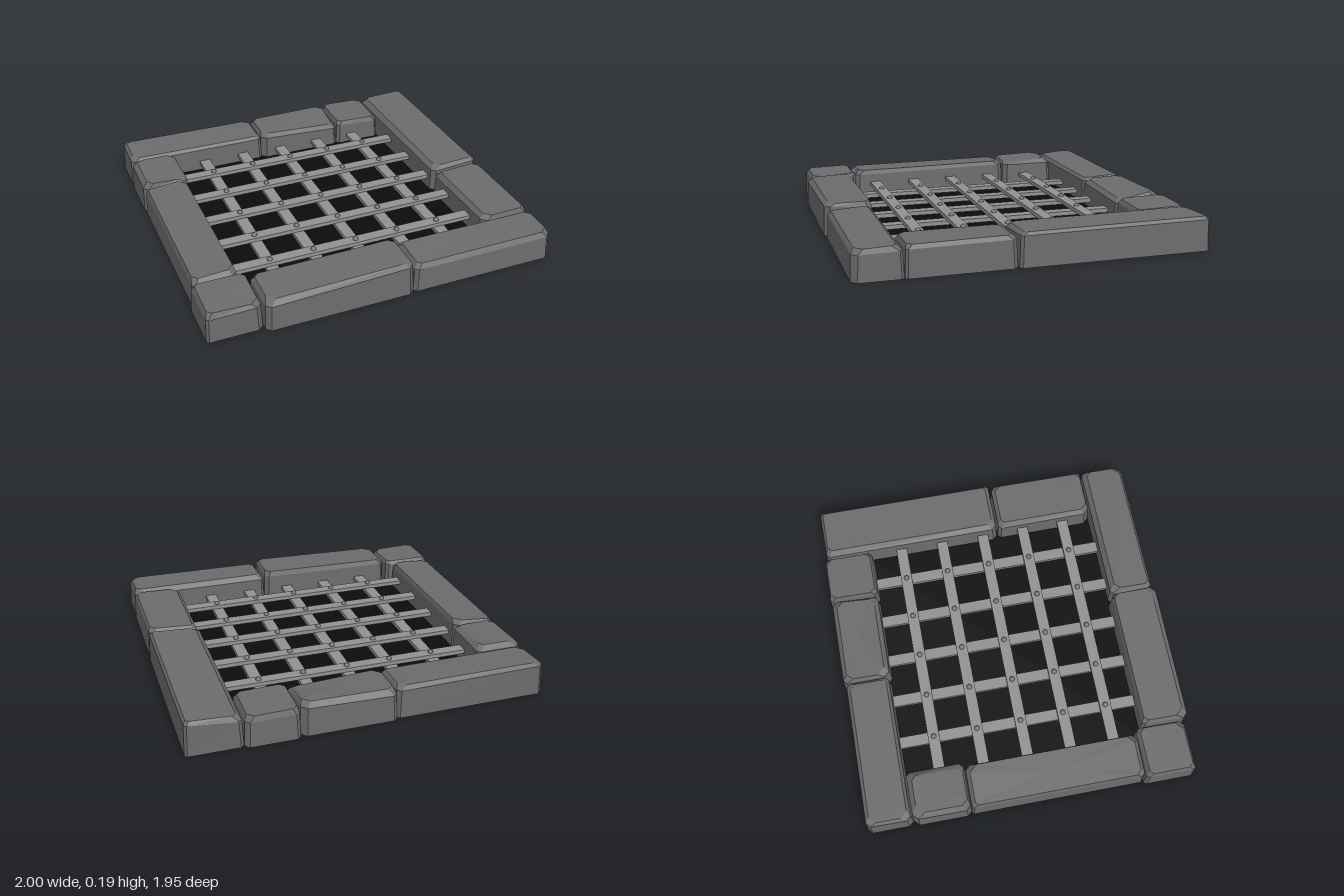
import * as THREE from 'three';

const stoneMat = new THREE.MeshStandardMaterial({ name: 'stone grey', color: 0x6b6b6b, flatShading: true, side: THREE.DoubleSide });
const barMat = new THREE.MeshStandardMaterial({ name: 'bar metal', color: 0x939190, flatShading: true });
const rivetMat = new THREE.MeshStandardMaterial({ name: 'rivet metal', color: 0x777675 });
const pitMat = new THREE.MeshStandardMaterial({ name: 'pit black', color: 0x0b0b0b, side: THREE.DoubleSide });

// Small seeded generator for the chipped edges
function seeded(seed) {
  let s = seed * 7919 + 17;
  return () => (s = (s * 16807) % 2147483647) / 2147483647;
}

// Footprint with cut corners, back-left first and then clockwise from above
function outline(x0, x1, z0, z1, cuts) {
  const [a, b, c, d] = cuts;
  return [
    [x0, z0 + a], [x0 + a, z0], [x1 - b, z0], [x1, z0 + b],
    [x1, z1 - c], [x1 - c, z1], [x0 + d, z1], [x0, z1 - d],
  ];
}

// Rough block, open underneath: wall loop, shoulder loop, bevelled top loop and a cap
function stoneGeometry([x0, x1, z0, z1], heights, seed) {
  const rnd = seeded(seed);
  for (let i = 0; i < 5; i++) rnd();
  const cuts = heights.map(() => 0.012 + 0.02 * rnd());
  const inset = heights.map(() => 0.014 + 0.022 * rnd());
  const topCuts = cuts.map((c) => c + 0.015 * rnd());
  const cornerOf = (i) => Math.floor(i / 2);
  const base = outline(x0, x1, z0, z1, cuts);
  const mid = outline(x0 + 0.006, x1 - 0.006, z0 + 0.006, z1 - 0.006, cuts);
  const top = outline(x0 + inset[0], x1 - inset[1], z0 + inset[2], z1 - inset[3], topCuts);
  const drop = heights.map(() => 0.015 + 0.018 * rnd());

  const pos = [];
  base.forEach(([x, z]) => pos.push(x, 0, z));
  mid.forEach(([x, z], i) => pos.push(x, heights[cornerOf(i)] - drop[cornerOf(i)], z));
  top.forEach(([x, z], i) => pos.push(x, heights[cornerOf(i)], z));
  const mean = heights.reduce((s, h) => s + h, 0) / 4;
  pos.push((x0 + x1) / 2, mean, (z0 + z1) / 2);

  const index = [];
  for (let i = 0; i < 8; i++) {
    const j = (i + 1) % 8;
    for (let r = 0; r < 16; r += 8) {
      index.push(r + i, r + 8 + i, r + j, r + j, r + 8 + i, r + 8 + j);
    }
    index.push(16 + i, 24, 16 + j);
  }
  const geo = new THREE.BufferGeometry();
  geo.setAttribute('position', new THREE.Float32BufferAttribute(pos, 3));
  geo.setIndex(index);
  const flat = geo.toNonIndexed();
  flat.computeVertexNormals();
  return flat;
}

// Name, footprint (x0, x1, z0, z1), heights (back-left, back-right, front-right, front-left)
const STONES = [
  ['backLongStone', [-0.985, -0.125, -0.955, -0.695], [0.185, 0.18, 0.17, 0.175]],
  ['backMiddleStone', [-0.13, 0.40, -0.97, -0.685], [0.18, 0.185, 0.155, 0.175]],
  ['backShortStone', [0.40, 0.695, -0.98, -0.68], [0.175, 0.17, 0.165, 0.17]],
  ['leftLongStone', [0.695, 1.0, -0.965, 0.105], [0.18, 0.19, 0.185, 0.175]],
  ['leftShortStone', [0.7, 0.995, 0.11, 0.695], [0.165, 0.175, 0.17, 0.165]],
  ['frontLeftStone', [0.14, 0.99, 0.695, 0.96], [0.17, 0.17, 0.165, 0.16]],
  ['frontMiddleStone', [-0.695, 0.14, 0.69, 0.97], [0.175, 0.187, 0.185, 0.17]],
  ['frontRightStone', [-1.0, -0.697, 0.645, 0.94], [0.17, 0.17, 0.16, 0.165]],
  ['rightLongStone', [-0.985, -0.73, -0.36, 0.65], [0.17, 0.185, 0.175, 0.165]],
  ['rightShortStone', [-0.99, -0.71, -0.695, -0.355], [0.188, 0.188, 0.175, 0.18]],
];

export function createModel() {
  const model = new THREE.Group();
  model.name = 'stoneFramedGrate';
  const add = (parent, name, geo, mat, x = 0, y = 0, z = 0) => {
    const mesh = new THREE.Mesh(geo, mat);
    mesh.name = name;
    mesh.position.set(x, y, z);
    parent.add(mesh);
    return mesh;
  };

  // Ring of stones
  const frame = new THREE.Group();
  frame.name = 'stoneFrame';
  model.add(frame);
  STONES.forEach(([name, rect, heights], i) => add(frame, name, stoneGeometry(rect, heights, i + 3), stoneMat));

  // Dark pit floor
  const floor = new THREE.PlaneGeometry(1.52, 1.5).rotateX(-Math.PI / 2);
  add(model, 'pitFloor', floor, pitMat, -0.01, 0.02, 0);

  // Crossed bars, with a rivet at each crossing
  const grate = new THREE.Group();
  grate.name = 'grate';
  model.add(grate);
  const xs = [-0.515, -0.26, -0.007, 0.247, 0.5];
  const zs = [-0.5, -0.245, 0.012, 0.265, 0.518];
  const lower = new THREE.BoxGeometry(0.066, 0.024, 1.5);
  const upper = new THREE.BoxGeometry(1.53, 0.024, 0.066);
  const rivet = new THREE.SphereGeometry(0.016, 10, 4, 0, Math.PI * 2, 0, Math.PI / 2);
  xs.forEach((x) => add(grate, 'lowerBar', lower, barMat, x, 0.066, 0));
  zs.forEach((z) => {
    add(grate, 'upperBar', upper, barMat, -0.01, 0.088, z);
    xs.forEach((x) => add(grate, 'rivet', rivet, rivetMat, x, 0.1, z));
  });
  return model;
}
